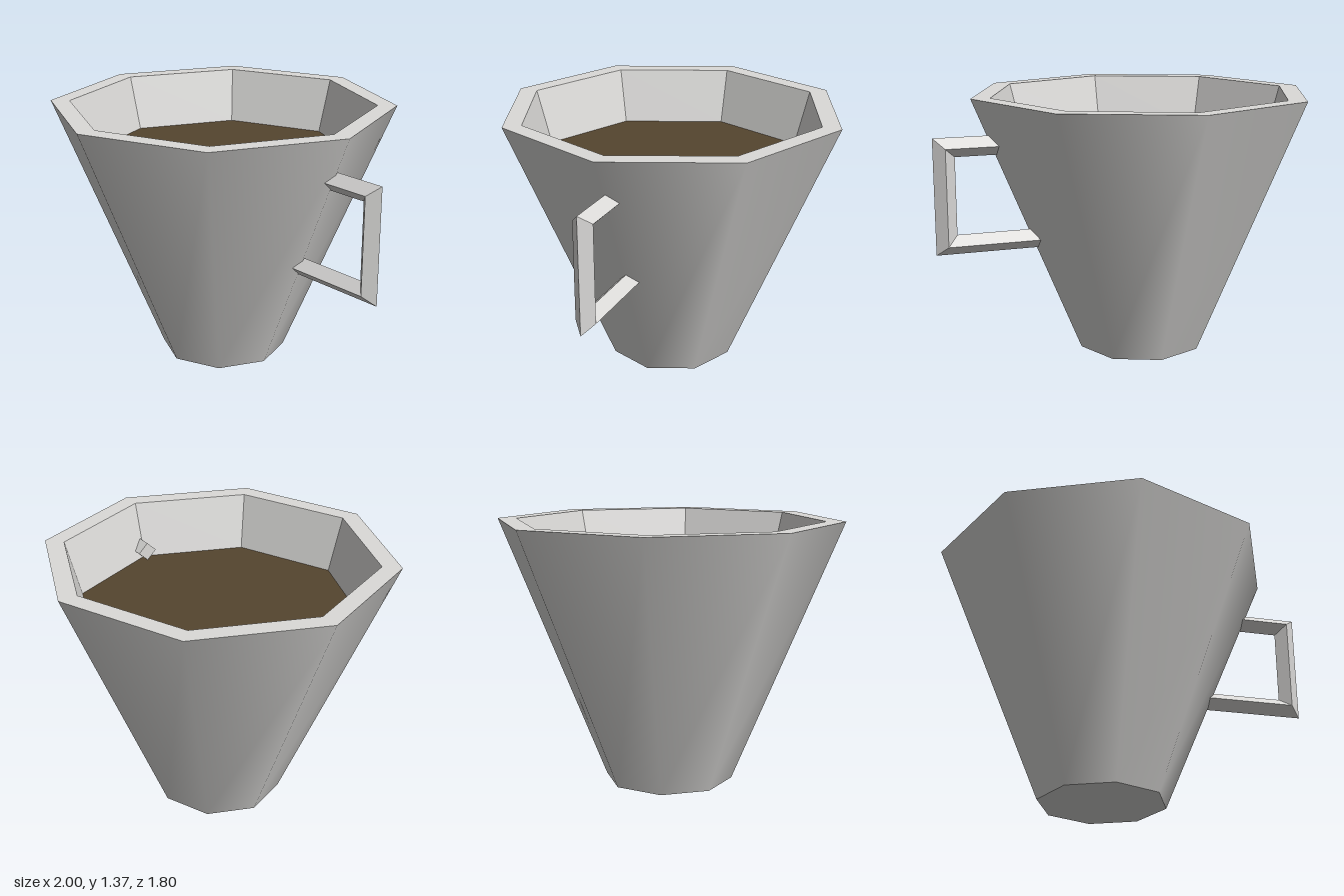
import * as THREE from 'three';

const SIDES = 8;
const HEIGHT = 1.365;
const LIQUID_Y = 1.08;

// Flat-shaded copy of a geometry, optionally turned inside out
function faceted(geometry, insideOut = false) {
  if (insideOut) geometry.index.array.reverse();
  const flat = geometry.toNonIndexed();
  flat.computeVertexNormals();
  return flat;
}

// Diamond-section bar swept along mitred stations [x, y, offsetX, offsetY]
function diamondBar(stations, z, halfDepth) {
  const positions = [];
  const index = [];
  for (const [x, y, ox, oy] of stations) {
    positions.push(x + ox, y + oy, z, x, y, z + halfDepth, x - ox, y - oy, z, x, y, z - halfDepth);
  }
  for (let i = 0; i < stations.length - 1; i++) {
    for (let k = 0; k < 4; k++) {
      const a = i * 4 + k, b = i * 4 + (k + 1) % 4;
      index.push(a, b, b + 4, a, b + 4, a + 4);
    }
  }
  const e = (stations.length - 1) * 4;
  index.push(0, 3, 2, 0, 2, 1, e, e + 1, e + 2, e, e + 2, e + 3);
  const geometry = new THREE.BufferGeometry();
  geometry.setAttribute('position', new THREE.Float32BufferAttribute(positions, 3));
  geometry.setIndex(index);
  return faceted(geometry);
}

export function createModel() {
  const ceramic = new THREE.MeshStandardMaterial({ color: 0xdbdad8 });
  ceramic.name = 'ceramic';
  const coffee = new THREE.MeshStandardMaterial({ color: 0x55452f });
  coffee.name = 'coffee';

  const model = new THREE.Group();
  model.name = 'mug';
  const cup = new THREE.Group();
  cup.name = 'cup';
  cup.position.x = -0.1;
  model.add(cup);

  const add = (parent, name, geometry, material, y = 0) => {
    const mesh = new THREE.Mesh(geometry, material);
    mesh.name = name;
    mesh.position.y = y;
    parent.add(mesh);
  };

  // Smooth-shaded outer wall with a flat base
  add(cup, 'outerWall', new THREE.CylinderGeometry(0.9, 0.335, HEIGHT, SIDES, 1, true), ceramic, HEIGHT / 2);
  add(cup, 'base', new THREE.CircleGeometry(0.335, SIDES).rotateX(Math.PI / 2), ceramic);

  // Flat rim and faceted inner wall
  add(cup, 'rim', new THREE.RingGeometry(0.8, 0.9, SIDES).rotateX(-Math.PI / 2), ceramic, HEIGHT);
  const inner = new THREE.CylinderGeometry(0.8, 0.72, HEIGHT - LIQUID_Y, SIDES, 1, true);
  add(cup, 'innerWall', faceted(inner, true), ceramic, (HEIGHT + LIQUID_Y) / 2);

  // Drink surface
  add(cup, 'drink', new THREE.CircleGeometry(0.72, SIDES).rotateX(-Math.PI / 2), coffee, LIQUID_Y);

  // Square handle, its upper end poking through the wall
  add(model, 'handle', diamondBar([
    [0.565, 1.13, 0, 0.05],
    [0.945, 1.13, 0.055, 0.05],
    [0.945, 0.63, 0.055, -0.05],
    [0.42, 0.63, 0, -0.05],
  ], -0.013, 0.053), ceramic);

  return model;
}
